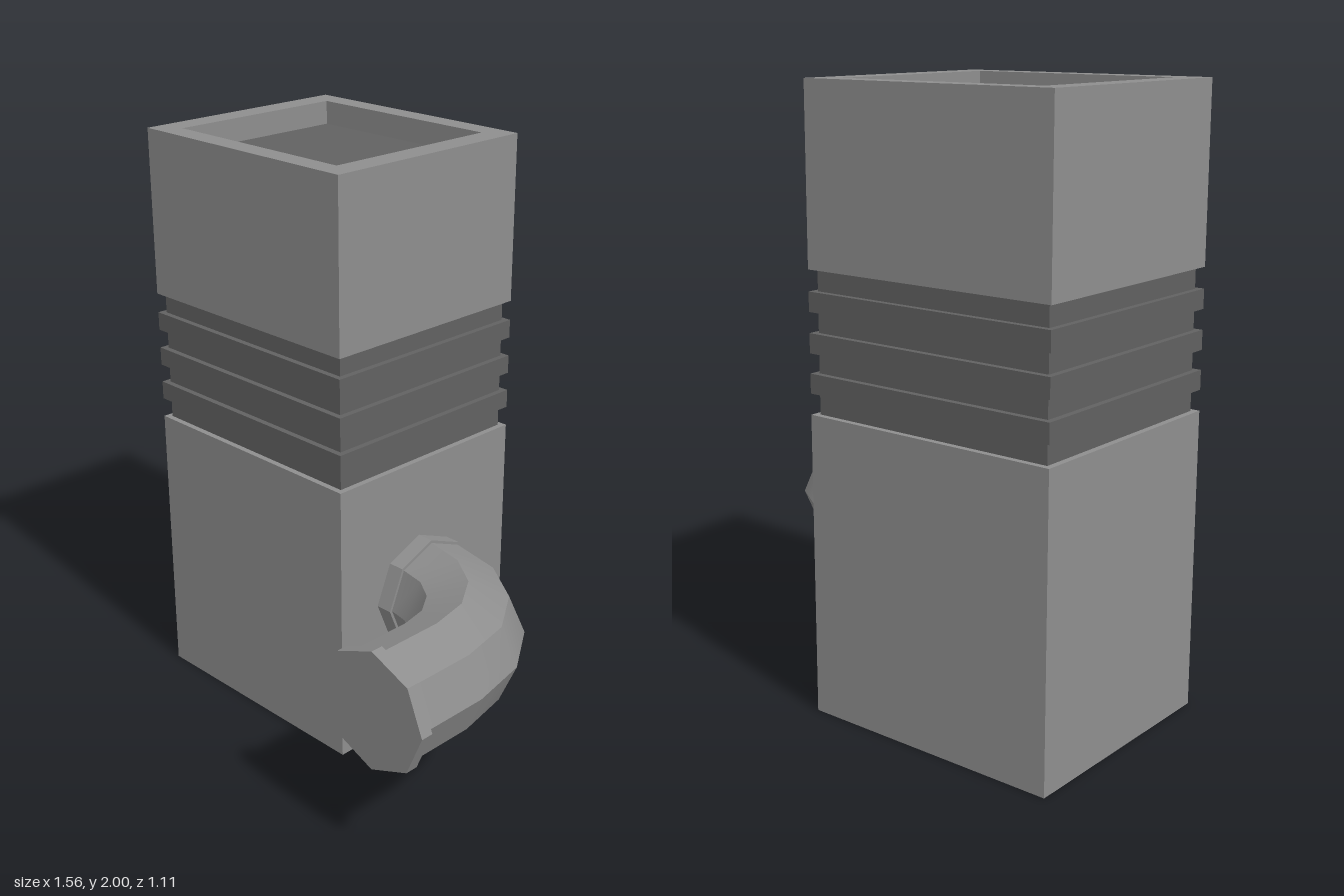
import * as THREE from 'three';
import { mergeGeometries, toCreasedNormals } from 'three/addons/utils/BufferGeometryUtils.js';

const grey = new THREE.MeshStandardMaterial({ color: 0x8e8e8e });
const darkGrey = new THREE.MeshStandardMaterial({ color: 0x616161 });
const W = 0.898, D = 0.795;          // shaft footprint
const PIPE_Y = 0.535, PIPE_R = 0.185, BEND_R = 0.37, SIDES = 8;

function add(parent, name, geometry, material, x = 0, y = 0, z = 0) {
  const mesh = new THREE.Mesh(geometry, material);
  mesh.name = name;
  mesh.position.set(x, y, z);
  parent.add(mesh);
}

// Box given by its bottom and top heights
function slab(parent, name, material, w, d, y0, y1) {
  add(parent, name, new THREE.BoxGeometry(w, y1 - y0, d), material, 0, (y0 + y1) / 2, 0);
}

// Corners of a centred rectangle
function rect(w, d) {
  return [[-w, -d], [w, -d], [w, d], [-w, d]].map(([x, y]) => new THREE.Vector2(x / 2, y / 2));
}

// Octagonal prism with hard edges
function octagon(radius, length) {
  return toCreasedNormals(new THREE.CylinderGeometry(radius, radius, length, SIDES), Math.PI / 6);
}

function createShaft() {
  const shaft = new THREE.Group();
  shaft.name = 'shaft';
  shaft.position.set(-0.329, 0, -0.157);

  slab(shaft, 'lowerBlock', grey, W, D, 0, 0.985);

  // Dark ribbed neck between the two blocks
  slab(shaft, 'neck', darkGrey, W - 0.04, D - 0.04, 0.985, 1.436);
  for (const y of [1.052, 1.178, 1.306]) slab(shaft, 'rib', darkGrey, W, D, y, y + 0.063);

  // Upper block: outer walls around a shallow recess with a dark floor
  slab(shaft, 'upperBlock', grey, W, D, 1.436, 1.91);
  const rim = new THREE.Shape(rect(W, D));
  rim.holes.push(new THREE.Path(rect(W - 0.172, D - 0.152).reverse()));
  const rimGeometry = new THREE.ExtrudeGeometry(rim, { depth: 0.09, bevelEnabled: false });
  rimGeometry.rotateX(-Math.PI / 2);
  add(shaft, 'topRim', rimGeometry, grey, 0, 1.91, 0);
  slab(shaft, 'recessFloor', darkGrey, W - 0.172, D - 0.152, 1.9, 1.92);
  return shaft;
}

function createPipe() {
  const pipe = new THREE.Group();
  pipe.name = 'elbowPipe';
  pipe.position.set(0.203, PIPE_Y, 0.275);   // centre of the bend

  // Quarter bend plus straight run, smooth lengthwise and faceted around
  const bend = new THREE.TorusGeometry(BEND_R, PIPE_R, SIDES, 4, Math.PI / 2).rotateX(-Math.PI / 2);
  const run = new THREE.CylinderGeometry(PIPE_R, PIPE_R, 0.24, SIDES, 1, true)
    .rotateX(Math.PI / 2).translate(BEND_R, 0, 0.12);
  add(pipe, 'pipe', toCreasedNormals(mergeGeometries([bend, run]), Math.PI / 6), grey);

  // End flanges
  add(pipe, 'wallFlange', octagon(0.195, 0.057).rotateZ(Math.PI / 2), grey, -0.0285, 0, -BEND_R);
  add(pipe, 'frontFlange', octagon(0.205, 0.043).rotateX(Math.PI / 2), grey, BEND_R, 0, 0.2565);
  return pipe;
}

export function createModel() {
  const model = new THREE.Group();
  model.name = 'ventShaft';
  model.add(createShaft(), createPipe());
  return model;
}
